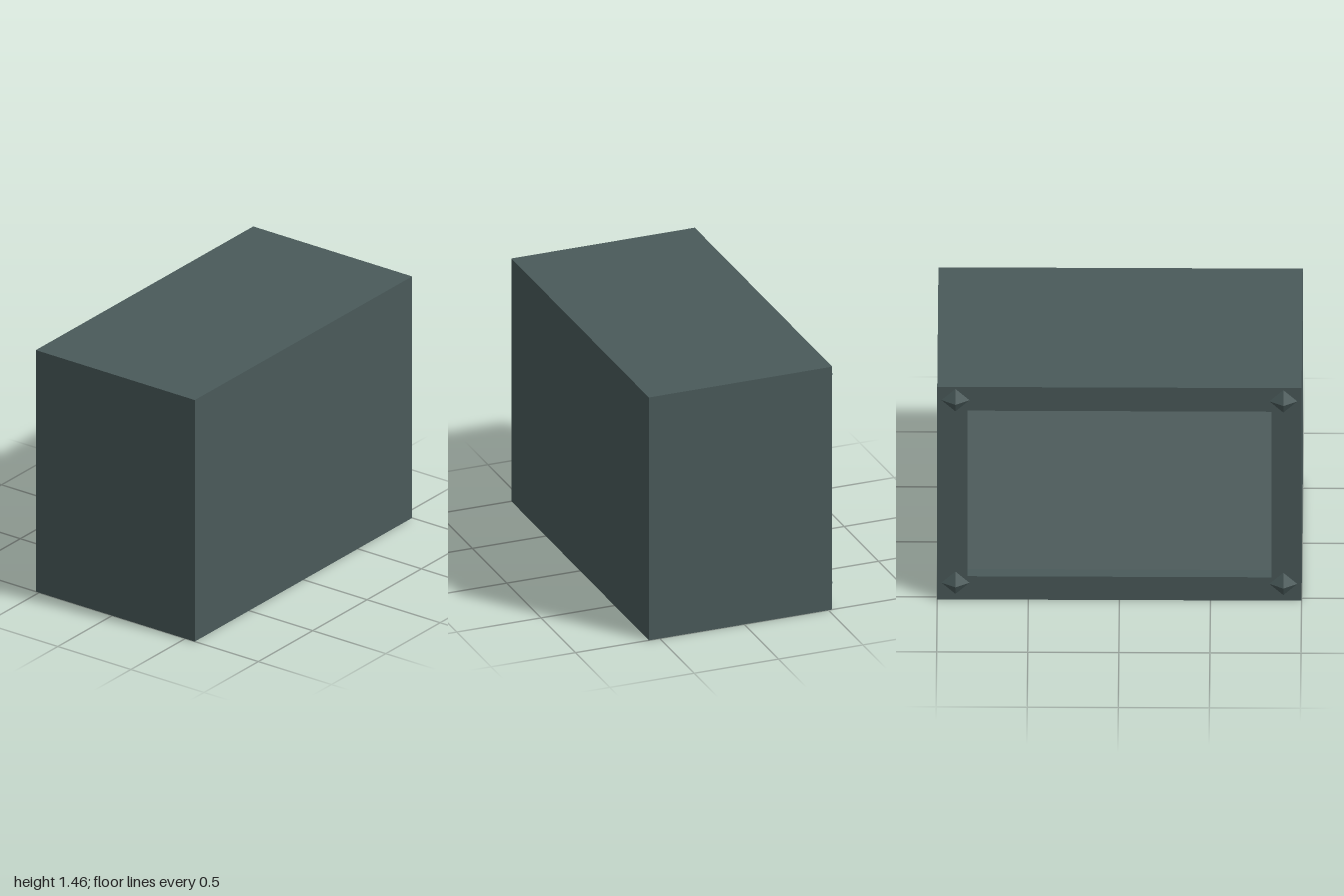
import * as THREE from 'three';

export function createModel() {
  const group = new THREE.Group();
  const slate = new THREE.MeshStandardMaterial({ color: 0x4a5a5a });
  const slateThin = new THREE.MeshStandardMaterial({ color: 0x4a5a5a, side: THREE.DoubleSide });
  slate.name = 'slateGrey';
  slateThin.name = 'slateGreySheet';

  const add = (geometry, material, name, x = 0, y = 0, z = 0) => {
    const mesh = new THREE.Mesh(geometry, material);
    mesh.name = name;
    mesh.position.set(x, y, z);
    group.add(mesh);
    return mesh;
  };

  const H = 1.463, back = -0.522, front = 0.565, inner = 0.34;
  const openX = 0.835, openLow = 0.16, openHigh = 1.3;

  // Housing: a rectangular tunnel open at the back, closed by a solid front block
  const outline = new THREE.Shape([
    new THREE.Vector2(-1, 0), new THREE.Vector2(1, 0),
    new THREE.Vector2(1, H), new THREE.Vector2(-1, H),
  ]);
  outline.holes.push(new THREE.Path([
    new THREE.Vector2(-openX, openLow), new THREE.Vector2(-openX, openHigh),
    new THREE.Vector2(openX, openHigh), new THREE.Vector2(openX, openLow),
  ]));
  const tunnel = new THREE.ExtrudeGeometry(outline, { depth: inner - back, bevelEnabled: false });
  add(tunnel, slate, 'housingFrame', 0, 0, back);
  add(new THREE.BoxGeometry(2, H, front - inner), slate, 'frontBlock', 0, H / 2, (front + inner) / 2);

  // Louvre slats: thin sheets leaning inwards at the top
  const rise = 0.243, run = 0.16, pitch = 0.223;
  const slat = new THREE.PlaneGeometry(openX * 2, Math.hypot(rise, run));
  slat.rotateY(Math.PI);
  slat.rotateX(Math.atan2(run, rise));
  for (let i = 0; i < 5; i++) {
    add(slat, slateThin, 'louvreSlat', 0, openHigh - rise / 2 - i * pitch, back + 0.06 + run / 2);
  }

  // Four-sided pointed studs on the corners of the back frame
  const stud = new THREE.ConeGeometry(0.077, 0.043, 4).toNonIndexed();
  stud.rotateX(-Math.PI / 2);
  stud.computeVertexNormals();
  for (const x of [-0.9, 0.9]) {
    for (const y of [0.115, 1.372]) add(stud, slate, 'cornerStud', x, y, back - 0.0215);
  }

  return group;
}
